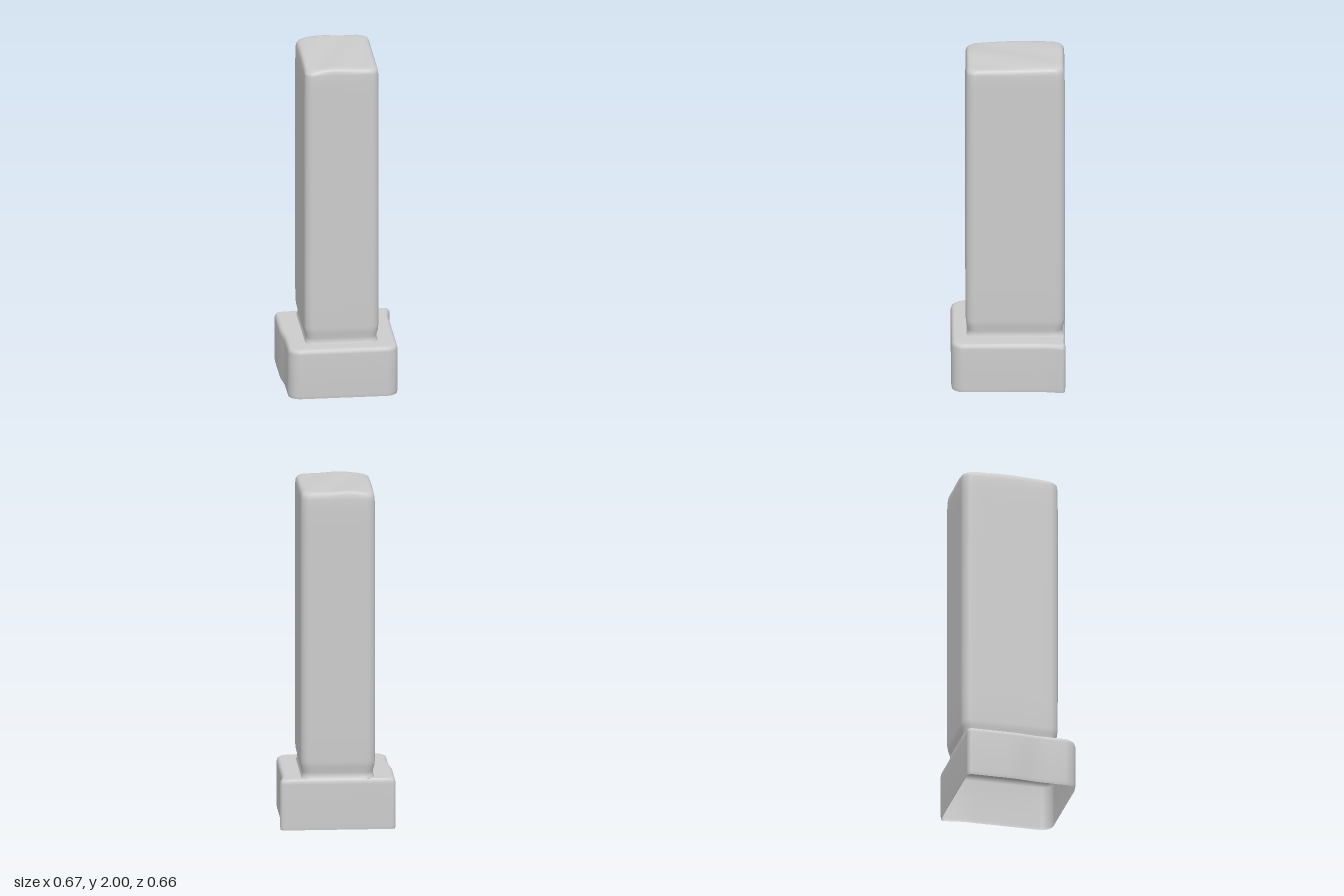
import * as THREE from 'three';

const material = new THREE.MeshStandardMaterial({ color: 0xcccccc, side: THREE.DoubleSide });
const smooth = THREE.MathUtils.smoothstep;
const ARC = 6, EDGE = 10;

// Rounded rectangle in plan, with separate front and back corner radii
function ring({ y, x0, x1, z0, z1, front, back }) {
  const corners = [
    [x1 - front, z1 - front, front, 0],
    [x0 + front, z1 - front, front, 1],
    [x0 + back, z0 + back, back, 2],
    [x1 - back, z0 + back, back, 3],
  ];
  const points = [];
  corners.forEach(([cx, cz, r, quarter], k) => {
    for (let i = 0; i <= ARC; i++) {
      const a = (quarter + i / ARC) * Math.PI / 2;
      points.push(new THREE.Vector3(cx + r * Math.cos(a), y, cz + r * Math.sin(a)));
    }
    // subdivide the straight side up to the next corner
    const [nx, nz, nr, nq] = corners[(k + 1) % 4];
    const from = points[points.length - 1];
    const a = nq * Math.PI / 2;
    const to = new THREE.Vector3(nx + nr * Math.cos(a), y, nz + nr * Math.sin(a));
    for (let i = 1; i < EDGE; i++) points.push(from.clone().lerp(to, i / EDGE));
  });
  return points;
}

// Skin a stack of rings, bottom to top
function loft(name, rings) {
  const n = rings[0].length, index = [];
  for (let i = 0; i < rings.length - 1; i++) {
    for (let j = 0; j < n; j++) {
      const a = i * n + j, b = i * n + (j + 1) % n;
      index.push(a, a + n, b, b, a + n, b + n);
    }
  }
  const geometry = new THREE.BufferGeometry().setFromPoints(rings.flat());
  geometry.setIndex(index);
  geometry.computeVertexNormals();
  const mesh = new THREE.Mesh(geometry, material);
  mesh.name = name;
  return mesh;
}

// Base outline at a height, drawn in by an inset, with its sides flaring at the back
function baseRing(y, inset) {
  const points = ring({
    y, x0: -0.32 + inset, x1: 0.316 - inset, z0: -0.329 + inset * 0.6, z1: 0.327 - inset,
    front: 0.07, back: 0.025,
  });
  for (const p of points) {
    const flare = p.x > 0
      ? 0.017 * (1 - smooth(p.z, -0.31, -0.2))
      : 0.014 * (1 - smooth(p.z, -0.06, 0.1));
    p.x *= 1 + flare / 0.318;
  }
  return points;
}

// Shaft outline at a height, drawn in by an inset
function shaftRing(y, inset) {
  return ring({
    y, x0: -0.218 + inset, x1: 0.214 - inset, z0: -0.328 + inset * 1.2, z1: 0.244 - inset,
    front: 0.05, back: 0.055,
  });
}

// Gently uneven top: higher along the middle and the back, dipping at the corners
function topHeight(x, z) {
  const u = x / 0.216, v = (z + 0.042) / 0.286;
  return 1.992 - 0.006 * u * u - 0.005 * v - 0.007 * u * u * v * v
    + 0.003 * Math.sin(5 * u + 3 * v);
}

export function createModel() {
  const group = new THREE.Group();
  group.name = 'pillar';

  // Hollow base, open underneath, closing in along the ledge to the shaft
  const baseProfile = [[0, 0.003], [0.02, 0], [0.15, 0], [0.27, 0], [0.287, 0.004], [0.296, 0.012], [0.299, 0.022]];
  const baseRings = baseProfile.map(([y, inset]) => baseRing(y, inset));
  baseRings.push(shaftRing(0.3, 0.006));
  group.add(loft('base', baseRings));

  // Shaft with a slight neck above the base and a softened upper edge
  const shaftProfile = [[0.3, 0.006], [0.315, 0.012], [0.335, 0.012], [0.365, 0.005], [0.4, 0.001], [0.6, 0],
    [1.2, 0], [1.8, 0], [1.9, 0.001], [1.95, 0.003]];
  const shaftRings = shaftProfile.map(([y, inset]) => shaftRing(y, inset));
  // Rounded shoulder leading into the uneven top
  for (const [drop, inset] of [[0.018, 0.006], [0.008, 0.012], [0.002, 0.021]]) {
    const points = shaftRing(0, inset);
    points.forEach((p) => { p.y = topHeight(p.x, p.z) - drop; });
    shaftRings.push(points);
  }
  const rim = shaftRings[shaftRings.length - 1];
  for (const s of [0.92, 0.8, 0.65, 0.5, 0.35, 0.2, 0.08, 0]) {
    shaftRings.push(rim.map((p) => {
      const x = p.x * s, z = -0.042 + (p.z + 0.042) * s;
      return new THREE.Vector3(x, topHeight(x, z), z);
    }));
  }
  group.add(loft('shaft', shaftRings));

  return group;
}
